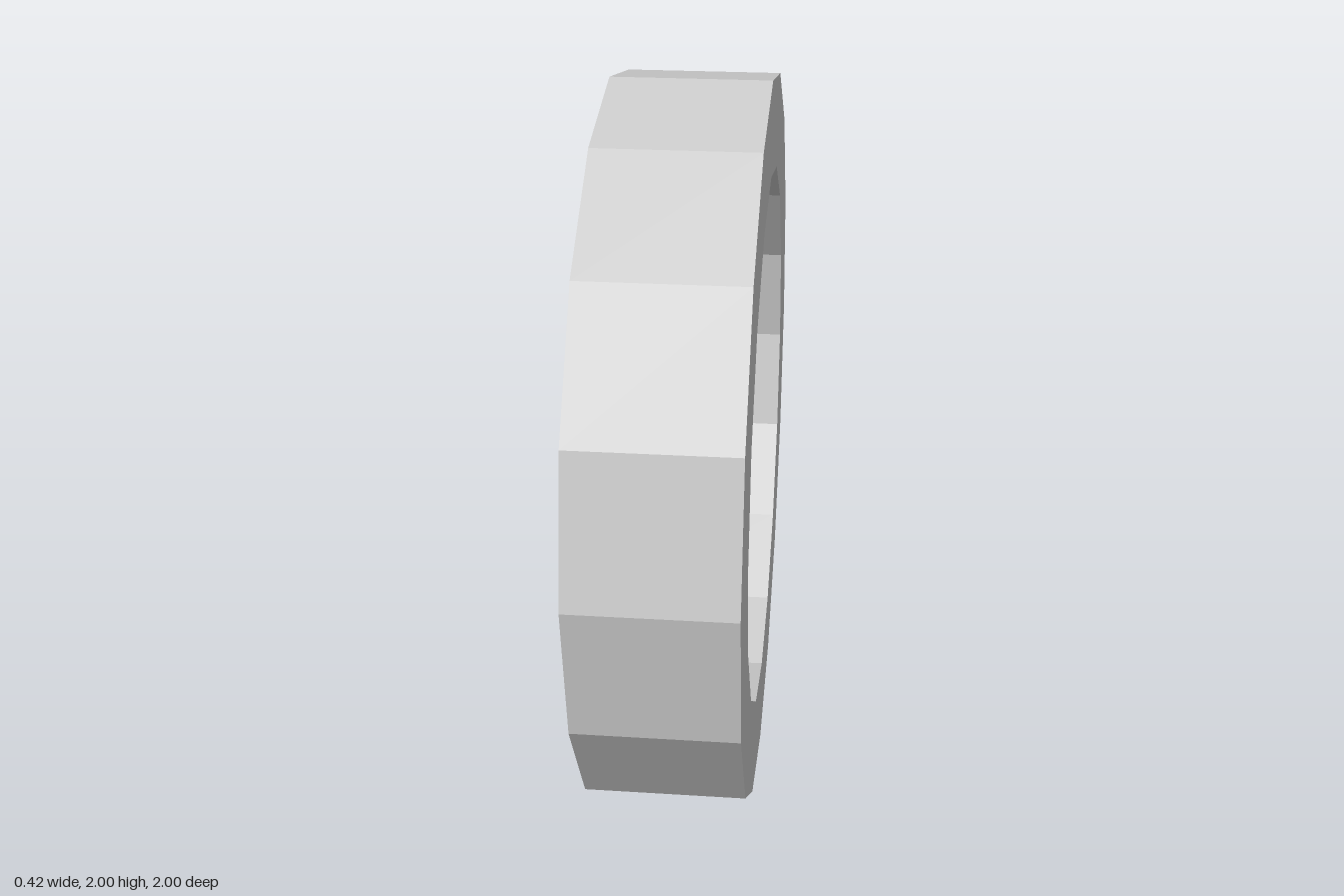
import * as THREE from 'three';

const SIDES = 16, OUTER = 1, INNER = 0.745, WIDTH = 0.42;

// Regular polygon with a corner at the top
function polygon(radius) {
  return Array.from({ length: SIDES }, (_, i) => {
    const a = (i / SIDES) * Math.PI * 2;
    return new THREE.Vector2(Math.cos(a) * radius, Math.sin(a) * radius);
  });
}

// Half height of the ring's opening at distance z from its centre
function openingAt(z) {
  const pts = polygon(INNER);
  for (let i = 0; i < SIDES / 4; i++) {
    const a = pts[i], b = pts[i + 1];
    if (z <= a.x && z >= b.x) return THREE.MathUtils.mapLinear(z, a.x, b.x, a.y, b.y);
  }
  return INNER;
}

export function createModel() {
  const model = new THREE.Group();
  model.name = 'barredWindow';
  const material = new THREE.MeshStandardMaterial({ color: 0xcccccc, flatShading: true });

  // Round frame, its axis along x
  const shape = new THREE.Shape(polygon(OUTER));
  shape.holes.push(new THREE.Path(polygon(INNER)));
  const ringGeometry = new THREE.ExtrudeGeometry(shape, { depth: WIDTH, bevelEnabled: false });
  ringGeometry.translate(0, 0, -WIDTH / 2);
  ringGeometry.rotateY(Math.PI / 2);
  const ring = new THREE.Mesh(ringGeometry, material);
  ring.name = 'frame';
  ring.position.y = 1;
  model.add(ring);

  // Upright eight-sided bars, their ends set just inside the frame
  const barRadius = 0.083;
  const bars = new THREE.Group();
  bars.name = 'bars';
  for (let i = -2; i <= 2; i++) {
    const z = i * 0.302;
    const half = openingAt(Math.max(0, Math.abs(z) - barRadius)) + 0.04;
    const bar = new THREE.Mesh(new THREE.CylinderGeometry(barRadius, barRadius, half * 2, 8), material);
    bar.name = 'bar';
    bar.position.set(0, 1, z);
    bars.add(bar);
  }
  model.add(bars);
  return model;
}
